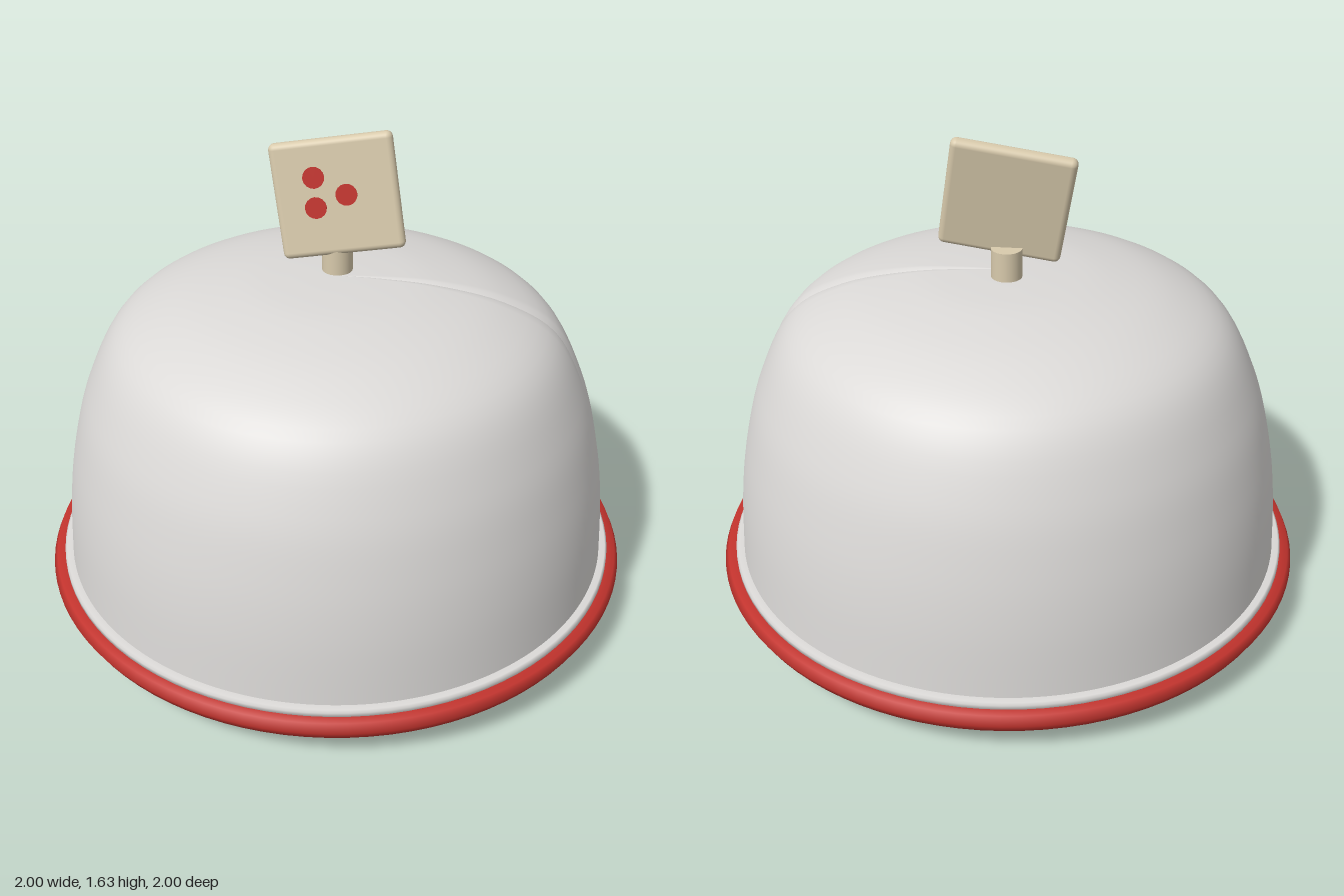
import * as THREE from 'three';
import { RoundedBoxGeometry } from 'three/addons/geometries/RoundedBoxGeometry.js';

const mat = (name, color) => {
  const m = new THREE.MeshStandardMaterial({ color });
  m.name = name;
  return m;
};

const points = (list) => list.map(([x, y]) => new THREE.Vector2(x, y));

export function createModel() {
  const silver = mat('silver', 0xdbd9d7);
  const red = mat('red', 0xc2332d);
  const cream = mat('cream', 0xd8caac);

  const model = new THREE.Group();
  model.name = 'coveredDish';

  const add = (name, geometry, material, parent = model) => {
    const mesh = new THREE.Mesh(geometry, material);
    mesh.name = name;
    parent.add(mesh);
    return mesh;
  };

  // Shallow dish with a rolled edge
  add('dish', new THREE.LatheGeometry(points([
    [0, 0], [0.4, 0.006], [0.75, 0.046], [0.98, 0.107], [0.998, 0.14],
    [0.985, 0.17], [0.95, 0.17], [0, 0.17],
  ]), 96), red);

  // Pale band where the cover meets the dish
  add('coverRim', new THREE.LatheGeometry(points([
    [0.92, 0.165], [0.957, 0.165], [0.957, 0.184], [0.95, 0.19], [0.92, 0.19],
  ]), 96), silver);

  // Bell-shaped cover with one shallow groove down its left side
  const curve = new THREE.SplineCurve(points([
    [0.93, 0.17], [0.914, 0.4], [0.882, 0.6], [0.825, 0.8], [0.72, 0.995],
    [0.545, 1.097], [0.33, 1.147], [0.15, 1.161], [0, 1.163],
  ]));
  const profile = curve.getPoints(40);
  profile[profile.length - 1].x = 0;
  const segments = 144;
  const dome = new THREE.LatheGeometry(profile, segments);
  const pos = dome.attributes.position;
  const normal = dome.attributes.normal;
  for (const column of [0, segments]) {
    for (let j = 0; j < profile.length; j++) {
      const i = column * profile.length + j;
      const depth = 0.006 * Math.min(1, profile[j].x / 0.3);
      pos.setXYZ(i,
        pos.getX(i) - normal.getX(i) * depth,
        pos.getY(i) - normal.getY(i) * depth,
        pos.getZ(i) - normal.getZ(i) * depth);
    }
  }
  dome.computeVertexNormals();
  dome.rotateY(Math.PI / 2);
  add('cover', dome, silver);

  // Short post carrying the handle
  add('handlePost', new THREE.CylinderGeometry(0.05, 0.05, 0.12, 32), cream)
    .position.set(0, 1.2, -0.05);

  // Tilted square handle with three dots on its face
  const handle = new THREE.Group();
  handle.name = 'handle';
  handle.position.set(0, 1.42, -0.05);
  handle.rotation.set(-0.17, 0, 0.155, 'ZYX');
  model.add(handle);
  add('handlePlate', new RoundedBoxGeometry(0.395, 0.375, 0.046, 4, 0.02), cream, handle);
  for (const [x, y] of [[-0.065, 0.07], [0.032, 0.005], [-0.07, -0.027]]) {
    const dot = add('handleDot', new THREE.CylinderGeometry(0.035, 0.035, 0.006, 16), red, handle);
    dot.rotation.x = Math.PI / 2;
    dot.position.set(x, y, 0.023);
  }

  return model;
}
